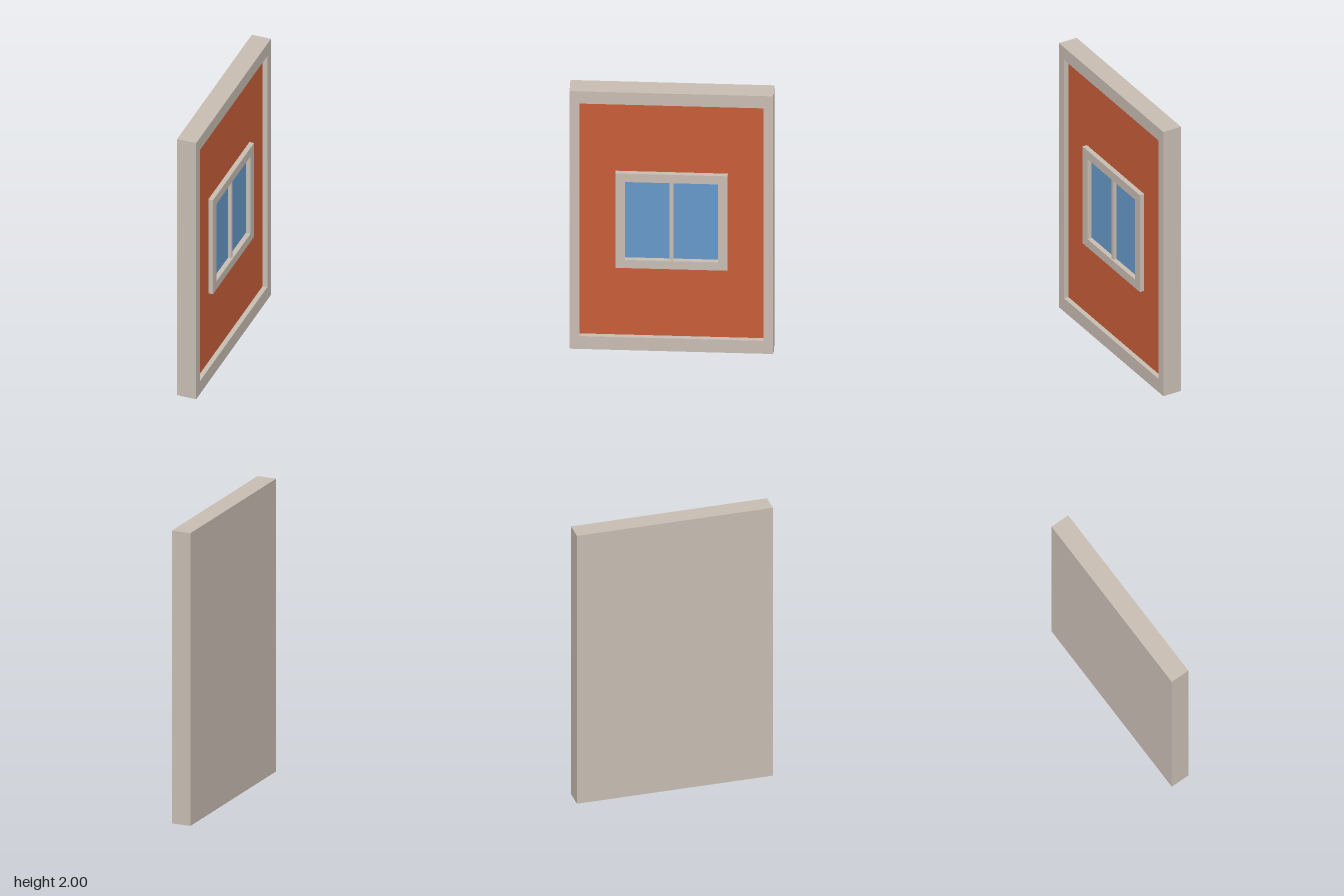
import * as THREE from 'three';

const BACK = -0.067, BED = 0.03, RECESS = 0.034, FACE = 0.067;

export function createModel() {
  const group = new THREE.Group();
  const paint = (name, color) => {
    const m = new THREE.MeshStandardMaterial({ color });
    m.name = name;
    return m;
  };
  const stone = paint('beige stone', 0xc9beb3);
  const wall = paint('orange wall', 0xc85e39);
  const glass = paint('blue glass', 0x6699c9);

  const add = (name, geometry, material) => {
    const mesh = new THREE.Mesh(geometry, material);
    mesh.name = name;
    group.add(mesh);
  };

  // Rectangle path, symmetric across the width
  const rect = (PathType, half, y0, y1) => new PathType([
    [-half, y0], [half, y0], [half, y1], [-half, y1],
  ].map(([a, b]) => new THREE.Vector2(a, b)));

  // Upright slab from x0 to x1, with an optional rectangular opening
  const slab = (outer, hole, x0, x1) => {
    const shape = rect(THREE.Shape, ...outer);
    if (hole) shape.holes.push(rect(THREE.Path, ...hole));
    return new THREE.ExtrudeGeometry(shape, { depth: x1 - x0, bevelEnabled: false })
      .translate(0, 0, x0)
      .rotateY(Math.PI / 2);
  };

  const outline = [0.667, 0, 2];
  const opening = [0.602, 0.1, 1.905];
  const windowOuter = [0.367, 0.637, 1.37];
  const windowInner = [0.304, 0.7, 1.305];

  // Backing and raised border
  add('backing', slab(outline, null, BACK, BED), stone);
  add('outerFrame', slab(outline, opening, BED, FACE), stone);

  // Recessed wall panel around the window
  add('wallPanel', slab(opening, windowOuter, BED, RECESS), wall);

  // Window frame, pane and central bar
  add('windowFrame', slab(windowOuter, windowInner, BED, FACE), stone);
  add('windowPane', slab(windowInner, null, BED, RECESS), glass);
  add('windowBar', slab([0.013, 0.7, 1.305], null, RECESS, 0.056), stone);

  return group;
}
